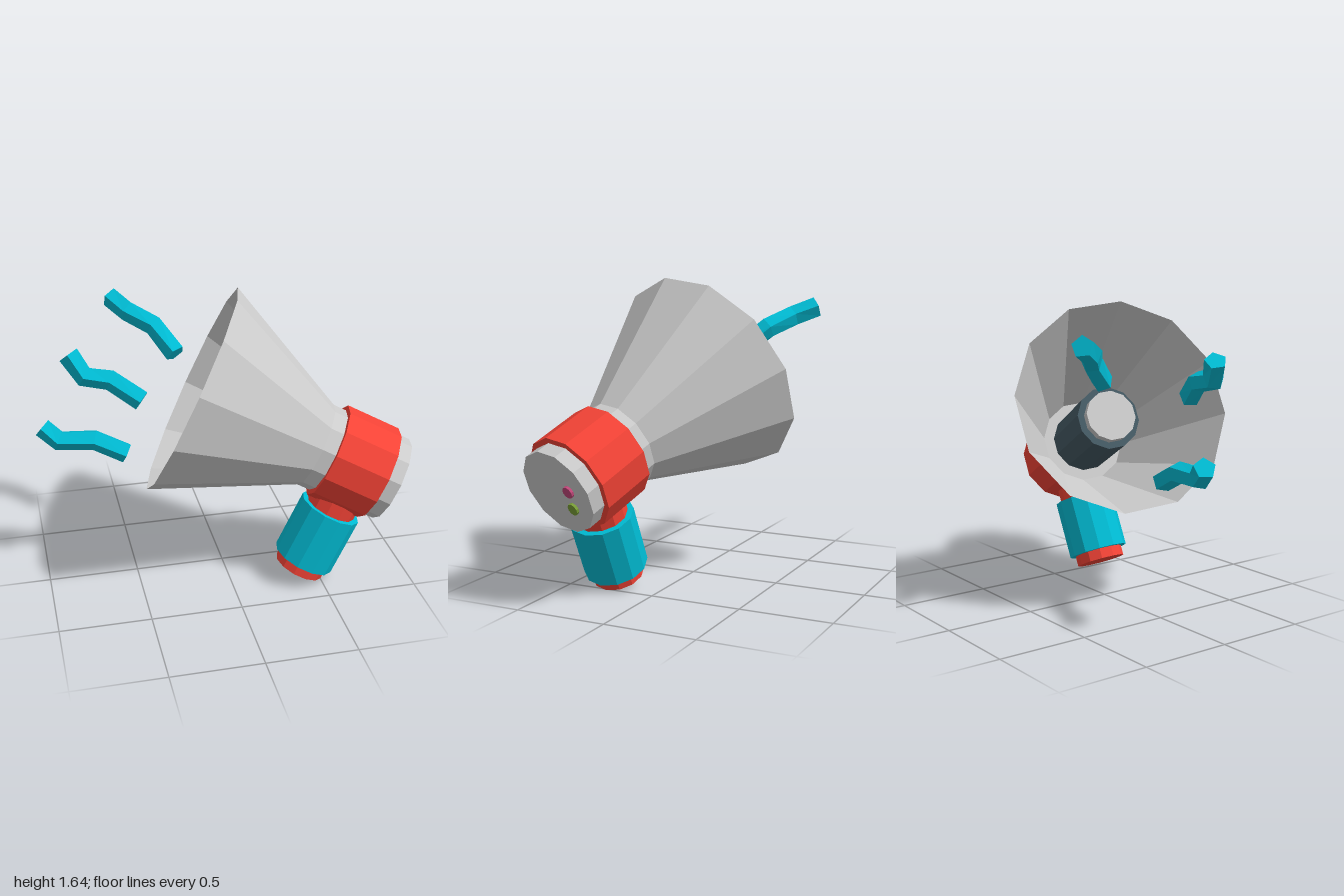
import * as THREE from 'three';

const material = (color) => new THREE.MeshStandardMaterial({ color, flatShading: true });
const grey = material(0xcccccc);
const red = material(0xf44336);
const teal = material(0x00bcd4);
const slate = material(0x455a64);
const pink = material(0xc2487a);
const green = material(0x7a9f38);
const hornGrey = material(0xcccccc);
hornGrey.side = THREE.DoubleSide;

function add(parent, name, geometry, mat) {
  const mesh = new THREE.Mesh(geometry, mat);
  mesh.name = name;
  parent.add(mesh);
  return mesh;
}

// Faceted cylinder whose axis runs along x from x0 (radius r0) to x1 (radius r1)
function barrel(x0, x1, r0, r1 = r0, open = false, sides = 12) {
  const geo = new THREE.CylinderGeometry(r1, r0, x1 - x0, sides, 1, open, Math.PI / sides);
  return geo.rotateZ(-Math.PI / 2).translate((x0 + x1) / 2, 0, 0);
}

// Faceted cylinder hanging along y
function post(y0, y1, r) {
  return new THREE.CylinderGeometry(r, r, y1 - y0, 12, 1, false, Math.PI / 12)
    .translate(0, (y0 + y1) / 2, 0);
}

// Five-sided rod bent along a path, with closed ends
function wave(points, radius) {
  const curve = new THREE.CatmullRomCurve3(points.map((p) => new THREE.Vector3(...p)));
  const geo = new THREE.CylinderGeometry(radius, radius, 1, 5, points.length - 1);
  const pos = geo.attributes.position;
  const ref = new THREE.Vector3(0, 0, 1);
  for (let i = 0; i < pos.count; i++) {
    const t = THREE.MathUtils.clamp(pos.getY(i) + 0.5, 0, 1);
    const tangent = curve.getTangent(t);
    const side = tangent.clone().cross(ref).normalize();
    const normal = side.clone().cross(tangent);
    const p = curve.getPoint(t)
      .addScaledVector(side, pos.getX(i))
      .addScaledVector(normal, pos.getZ(i));
    pos.setXYZ(i, p.x, p.y, p.z);
  }
  geo.computeVertexNormals();
  return geo;
}

export function createModel() {
  const model = new THREE.Group();
  model.name = 'megaphone';

  // Tilted body: local x runs from the mouth to the rear cap
  const body = new THREE.Group();
  body.name = 'body';
  body.position.set(-0.167, 1.11, 0);
  body.rotation.set(0, -0.27, -0.449, 'ZYX');
  model.add(body);

  add(body, 'horn', barrel(0, 0.745, 0.598, 0.24, true), hornGrey);
  add(body, 'rearHousing', barrel(0.745, 1.21, 0.24), grey);
  add(body, 'band', barrel(0.82, 1.13, 0.27), red);

  // Driver inside the horn
  add(body, 'driver', barrel(0.25, 0.75, 0.18), slate);
  add(body, 'driverCap', barrel(0.2, 0.26, 0.143), grey);

  // Buttons on the rear cap
  [[0.035, pink, 'upperButton'], [-0.07, green, 'lowerButton']].forEach(([y, mat, name]) => {
    add(body, name, barrel(1.2, 1.225, 0.033, 0.033, false, 10), mat).position.set(0, y, -0.095);
  });

  // Handle hanging below the band
  const handle = new THREE.Group();
  handle.name = 'handle';
  handle.position.x = 0.99;
  body.add(handle);
  add(handle, 'handleCore', post(-0.7, -0.1, 0.142), red);
  add(handle, 'grip', post(-0.64, -0.3, 0.174), teal);

  // Sound waves in front of the mouth
  const waves = [
    [[-0.22, 1.25, -0.175], [-0.31, 1.37, -0.31], [-0.44, 1.43, -0.41], [-0.52, 1.48, -0.52]],
    [[-0.47, 1.17, 0.21], [-0.62, 1.27, 0.135], [-0.75, 1.295, 0.12], [-0.82, 1.4, 0.07]],
    [[-0.53, 0.755, -0.02], [-0.7, 0.835, -0.06], [-0.89, 0.84, -0.085], [-0.97, 0.91, -0.125]],
  ];
  waves.forEach((points, i) => add(model, `soundWave${i + 1}`, wave(points, 0.058), teal));

  return model;
}
